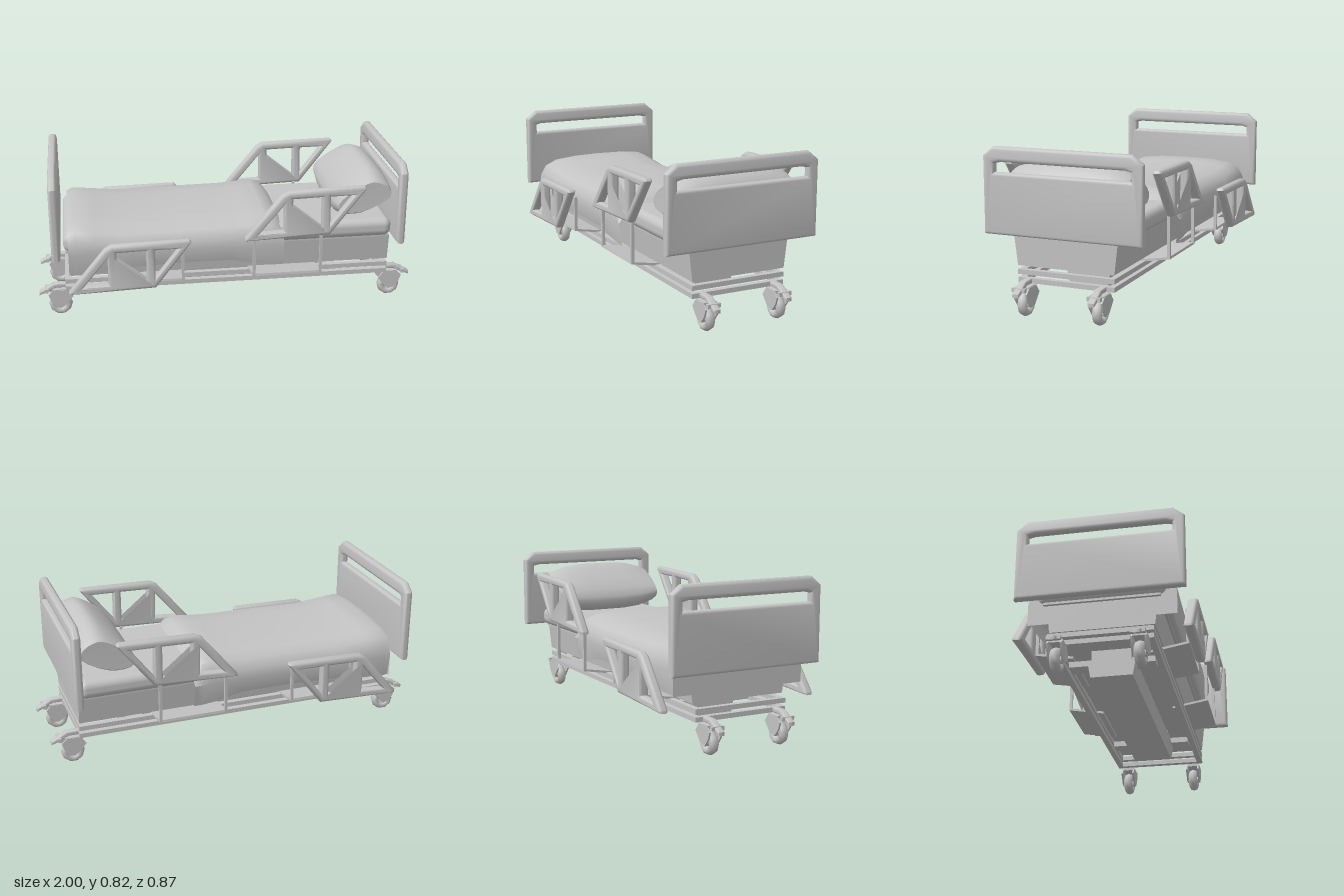
import * as THREE from 'three';
import { toCreasedNormals } from 'three/addons/utils/BufferGeometryUtils.js';
import { RoundedBoxGeometry } from 'three/addons/geometries/RoundedBoxGeometry.js';

const grey = new THREE.MeshStandardMaterial({ color: 0xc4c4c4, side: THREE.DoubleSide });
grey.name = 'light grey';

function add(parent, name, geometry, x = 0, y = 0, z = 0) {
  const mesh = new THREE.Mesh(geometry, grey);
  mesh.name = name;
  mesh.position.set(x, y, z);
  parent.add(mesh);
  return mesh;
}

const box = (w, h, d) => new THREE.BoxGeometry(w, h, d);
const points = (list) => list.map(([x, y]) => new THREE.Vector2(x, y));

// Flat outline with holes, given a thickness centred on z and softened edges
function plate(outline, holes, thickness, bevel) {
  const shape = new THREE.Shape(points(outline));
  holes.forEach((h) => shape.holes.push(new THREE.Path(points(h))));
  const geometry = new THREE.ExtrudeGeometry(shape, {
    depth: thickness - 2 * bevel, bevelEnabled: bevel > 0, bevelThickness: bevel,
    bevelSize: bevel, bevelOffset: -bevel, bevelSegments: 3,
  });
  geometry.translate(0, 0, bevel - thickness / 2);
  return toCreasedNormals(geometry, 0.7);
}

// Skin over rings of equal point count
function loft(rings, closed, crease) {
  const n = rings[0].length;
  const index = [];
  for (let i = 0; i < rings.length - 1; i++) {
    for (let j = 0; j < (closed ? n : n - 1); j++) {
      const k = (j + 1) % n;
      const a = i * n + j, b = a + n, c = i * n + k, d = c + n;
      index.push(a, b, c, b, d, c);
    }
  }
  const geometry = new THREE.BufferGeometry();
  geometry.setAttribute('position', new THREE.Float32BufferAttribute(rings.flat(2), 3));
  geometry.setIndex(index);
  return toCreasedNormals(geometry, crease);
}

function endBoard(name, x) {
  const g = plate(
    [[-0.415, 0.39], [0.415, 0.39], [0.415, 0.775], [0.36, 0.82], [-0.36, 0.82], [-0.415, 0.775]],
    [[[-0.355, 0.695], [0.355, 0.695], [0.355, 0.738], [0.325, 0.745], [-0.325, 0.745], [-0.355, 0.738]]],
    0.044, 0.017);
  g.rotateY(Math.PI / 2);
  return [name, g, x];
}

// Draped cover: one cross-section per station [x, top, hem]
function blanket() {
  const section = ([x, top, hem]) => {
    const half = [[0.362, 0.40], [0.352, top - 0.085], [0.325, top - 0.04], [0.27, top - 0.015], [0.15, top - 0.003]];
    half.unshift([0.342, hem]);
    return [
      ...half.map(([z, y]) => [x, y, z]),
      [x, top, 0],
      ...half.reverse().map(([z, y]) => [x, y, -z]),
    ];
  };
  const stations = [[-0.835, 0.535, 0.285], [-0.8, 0.55, 0.28], [-0.7, 0.54, 0.29], [-0.55, 0.525, 0.31],
    [-0.25, 0.532, 0.32], [0, 0.535, 0.32], [0.1, 0.542, 0.30], [0.18, 0.55, 0.285], [0.23, 0.54, 0.28], [0.275, 0.495, 0.28]];
  const rings = stations.map(section);
  rings.unshift(rings[0].map(([x, , z]) => [x, 0.285, z])); // foot end wall
  return loft(rings, false, 0.8);
}

function pillow() {
  const outline = [[0.555, 0.57], [0.68, 0.71], [0.76, 0.748], [0.845, 0.69], [0.855, 0.61], [0.69, 0.49], [0.575, 0.5]];
  const curve = new THREE.CatmullRomCurve3(outline.map(([x, y]) => new THREE.Vector3(x, y, 0)), true);
  const loop = curve.getPoints(24).slice(0, 24);
  const stations = [[-0.31, 0, 0], [-0.312, 0.9, 0.62], [-0.29, 0.94, 0.72], [-0.2, 0.98, 0.92], [-0.1, 1, 0.99],
    [0.1, 1, 0.99], [0.2, 0.98, 0.92], [0.29, 0.94, 0.72], [0.312, 0.9, 0.62], [0.31, 0, 0]];
  return loft(stations.map(([z, sx, sy]) =>
    loop.map((p) => [0.71 + (p.x - 0.71) * sx, 0.62 + (p.y - 0.62) * sy, z])), true, 0.8);
}

// Slanted guard with three openings, its posts and the sloping arm below
function sideGuard(name, x, y, z, postX, postTop, side) {
  const group = new THREE.Group();
  group.name = name;
  const panel = plate(
    [[0, 0], [0.44, 0.015], [0.625, 0.255], [0.615, 0.268], [0.22, 0.26], [0.185, 0.24], [0, 0.015]],
    [[[0.075, 0.04], [0.2, 0.048], [0.2, 0.19]],
      [[0.245, 0.048], [0.395, 0.052], [0.395, 0.222], [0.245, 0.218]],
      [[0.44, 0.07], [0.56, 0.225], [0.44, 0.222]]],
    0.05, 0.017);
  add(group, 'guardPanel', panel, x, y, z * side);
  const bottom = 0.24;
  for (const px of postX) {
    add(group, 'guardPost', box(0.014, postTop - bottom, 0.016), px, (postTop + bottom) / 2, 0.377 * side);
  }
  const arm = add(group, 'guardArm', box(postX[1] - postX[0] + 0.014, 0.012, 0.195),
    (postX[0] + postX[1]) / 2, 0.229, 0.288 * side);
  arm.rotation.x = -0.17 * side;
  return group;
}

function caster(end, side) {
  const group = new THREE.Group();
  group.name = 'caster';
  const tyre = new THREE.TorusGeometry(0.042, 0.02, 8, 10);
  tyre.scale(1, 1, 1.3);
  add(group, 'tyre', tyre, 0, 0.062, 0);
  add(group, 'hub', new THREE.CylinderGeometry(0.018, 0.018, 0.06, 10).rotateX(Math.PI / 2), 0, 0.062, 0);
  // Cheeks and cover of the fork
  const cheek = [[-0.066, 0.11], [-0.02, 0.058], [0.02, 0.052], [0.05, 0.09], [0.062, 0.125], [0.035, 0.15], [-0.035, 0.15]];
  for (const s of [-1, 1]) add(group, 'forkCheek', plate(cheek, [], 0.009, 0), 0, 0, s * 0.033);
  add(group, 'forkCover', box(0.08, 0.016, 0.07), 0, 0.145, 0);
  // Bent pedal arm leading outwards from the frame
  const pedal = [[-0.05, 0.157], [-0.05, 0.18], [0.03, 0.18], [0.075, 0.155], [0.11, 0.135], [0.11, 0.117], [0.065, 0.135], [0.02, 0.157]];
  add(group, 'pedalArm', plate(pedal, [], 0.036, 0.005));
  add(group, 'pedalCrossbar', box(0.018, 0.02, 0.07), 0.07, 0.145, 0);
  group.position.set(0.89 * end, 0, 0.197 * side);
  if (end < 0) group.rotation.y = Math.PI;
  return group;
}

// Rectangular ring of bars
function frame(name, y, height) {
  const group = new THREE.Group();
  group.name = name;
  for (const s of [-1, 1]) {
    add(group, 'sideRail', box(1.72, height, 0.03), 0, y, s * 0.24);
    add(group, 'endRail', box(0.03, height, 0.48), s * 0.845, y, 0);
  }
  return group;
}

export function createModel() {
  const bed = new THREE.Group();
  bed.name = 'hospitalBed';

  // Bedding
  add(bed, 'mattress', new RoundedBoxGeometry(1.72, 0.1, 0.63, 4, 0.04), 0, 0.44, 0);
  add(bed, 'blanket', blanket());
  add(bed, 'pillow', pillow());

  // Head and foot boards
  add(bed, ...endBoard('headBoard', 0.881));
  add(bed, ...endBoard('footBoard', -0.896));

  // Tapered base below the mattress
  const base = new THREE.ExtrudeGeometry(
    new THREE.Shape(points([[-0.255, 0.24], [0.255, 0.24], [0.272, 0.385], [-0.272, 0.385]])),
    { depth: 1.69, bevelEnabled: false });
  add(bed, 'bedBase', base.rotateY(Math.PI / 2), -0.83, 0, 0);
  add(bed, 'mattressSupport', box(1.7, 0.012, 0.57), 0, 0.388, 0);

  // Undercarriage
  bed.add(frame('upperFrame', 0.208, 0.024), frame('lowerFrame', 0.168, 0.024));
  const motor = new THREE.ExtrudeGeometry(
    new THREE.Shape(points([[-0.105, 0.098], [0.105, 0.098], [0.12, 0.18], [-0.12, 0.18]])),
    { depth: 1.2, bevelEnabled: false });
  add(bed, 'motorHousing', motor.rotateY(Math.PI / 2), -0.6, 0, 0);
  for (const x of [-0.55, 0.55]) {
    add(bed, 'crossMember', box(0.08, 0.03, 0.43), x, 0.18, 0);
    add(bed, 'liftColumn', box(0.1, 0.08, 0.2), x, 0.215, 0);
  }

  // Side guards and wheels
  for (const side of [-1, 1]) {
    bed.add(sideGuard('headGuard', 0.062, 0.448, 0.395, [0.115, 0.465], 0.47, side));
    bed.add(sideGuard('footGuard', -0.84, 0.212, 0.412, [-0.595, -0.255], 0.43, side));
    for (const end of [-1, 1]) bed.add(caster(end, side));
  }
  return bed;
}
